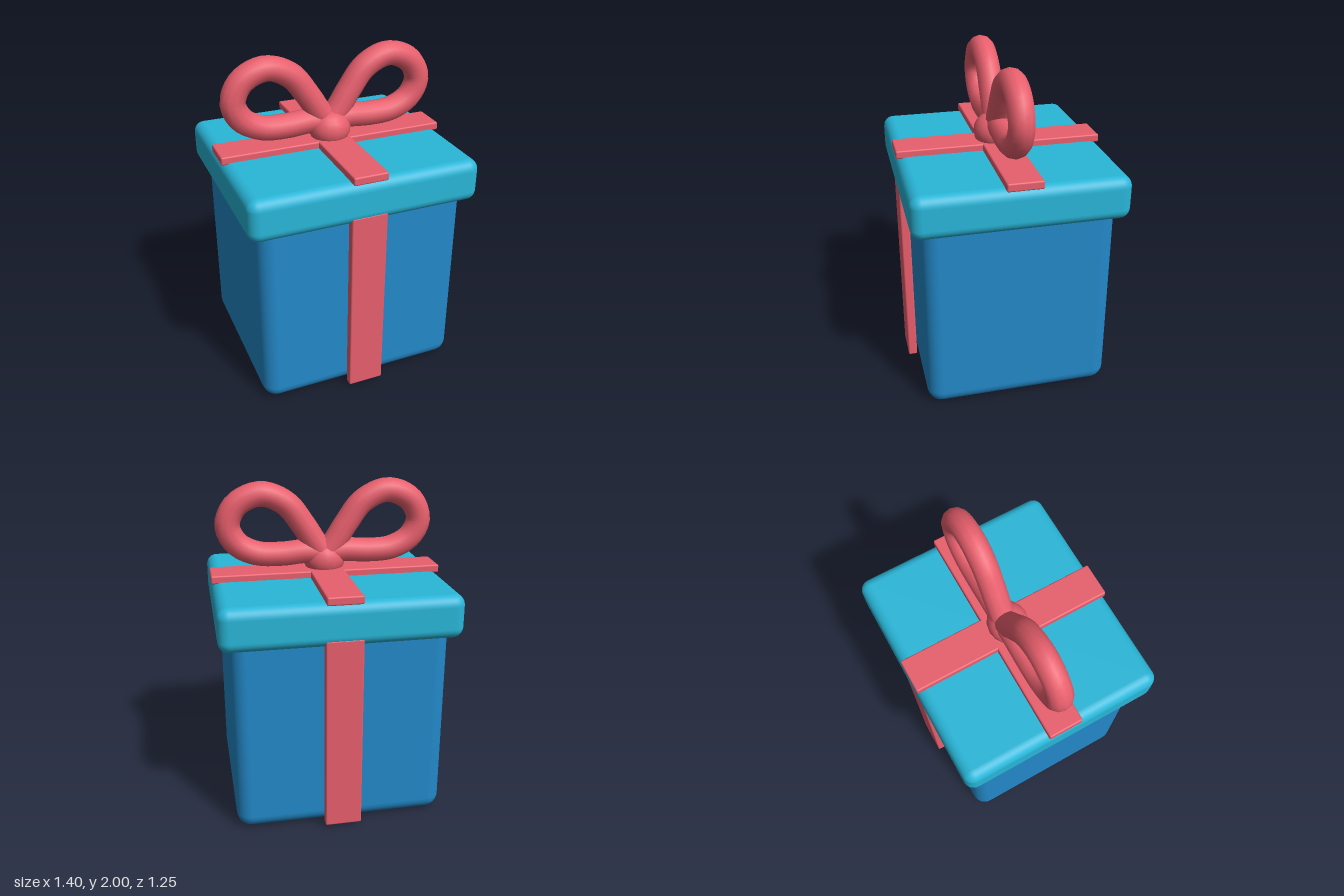
import * as THREE from 'three';
import { RoundedBoxGeometry } from 'three/addons/geometries/RoundedBoxGeometry.js';

const blue = new THREE.MeshStandardMaterial({ color: 0x2389c9 });
const teal = new THREE.MeshStandardMaterial({ color: 0x29b6d8 });
const red = new THREE.MeshStandardMaterial({ color: 0xe85f6d });

export function createModel() {
  const model = new THREE.Group();
  model.name = 'giftBox';

  const add = (name, geometry, material, x = 0, y = 0, z = 0) => {
    const mesh = new THREE.Mesh(geometry, material);
    mesh.name = name;
    mesh.position.set(x, y, z);
    model.add(mesh);
    return mesh;
  };
  const slab = (name, material, [w, h, d], radius, y, z = 0) =>
    add(name, new RoundedBoxGeometry(w, h, d, 4, radius), material, 0, y, z);

  // Box and lid
  slab('body', blue, [1.27, 1.3, 1.125], 0.09, 0.65);
  slab('lid', teal, [1.4, 0.26, 1.25], 0.065, 1.3);

  // Ribbons: crossed on the lid, upright on front and back
  slab('lidRibbonAcross', red, [1.4, 0.05, 0.21], 0.01, 1.445);
  slab('lidRibbonLengthwise', red, [0.21, 0.05, 1.25], 0.01, 1.445);
  slab('frontRibbon', red, [0.22, 1.2, 0.056], 0.01, 0.615, 0.594);
  slab('backRibbon', red, [0.22, 1.2, 0.056], 0.01, 0.615, -0.594);

  // Bow loops, mirrored left and right
  const loop = [
    [0, 1.56], [0.12, 1.57], [0.27, 1.56], [0.42, 1.572], [0.535, 1.635], [0.585, 1.745],
    [0.53, 1.865], [0.385, 1.925], [0.235, 1.865], [0.13, 1.73], [0.06, 1.62], [0, 1.54],
  ];
  for (const [name, side] of [['leftBowLoop', 1], ['rightBowLoop', -1]]) {
    const path = new THREE.CatmullRomCurve3(loop.map(([x, y]) => new THREE.Vector3(side * x, y, 0)));
    add(name, new THREE.TubeGeometry(path, 48, 0.075, 12), red);
  }

  // Knot, sitting slightly forward
  const knot = add('knot', new THREE.SphereGeometry(0.12, 16, 12), red, 0, 1.515, 0.018);
  knot.scale.set(1.06, 0.96, 1);

  return model;
}
